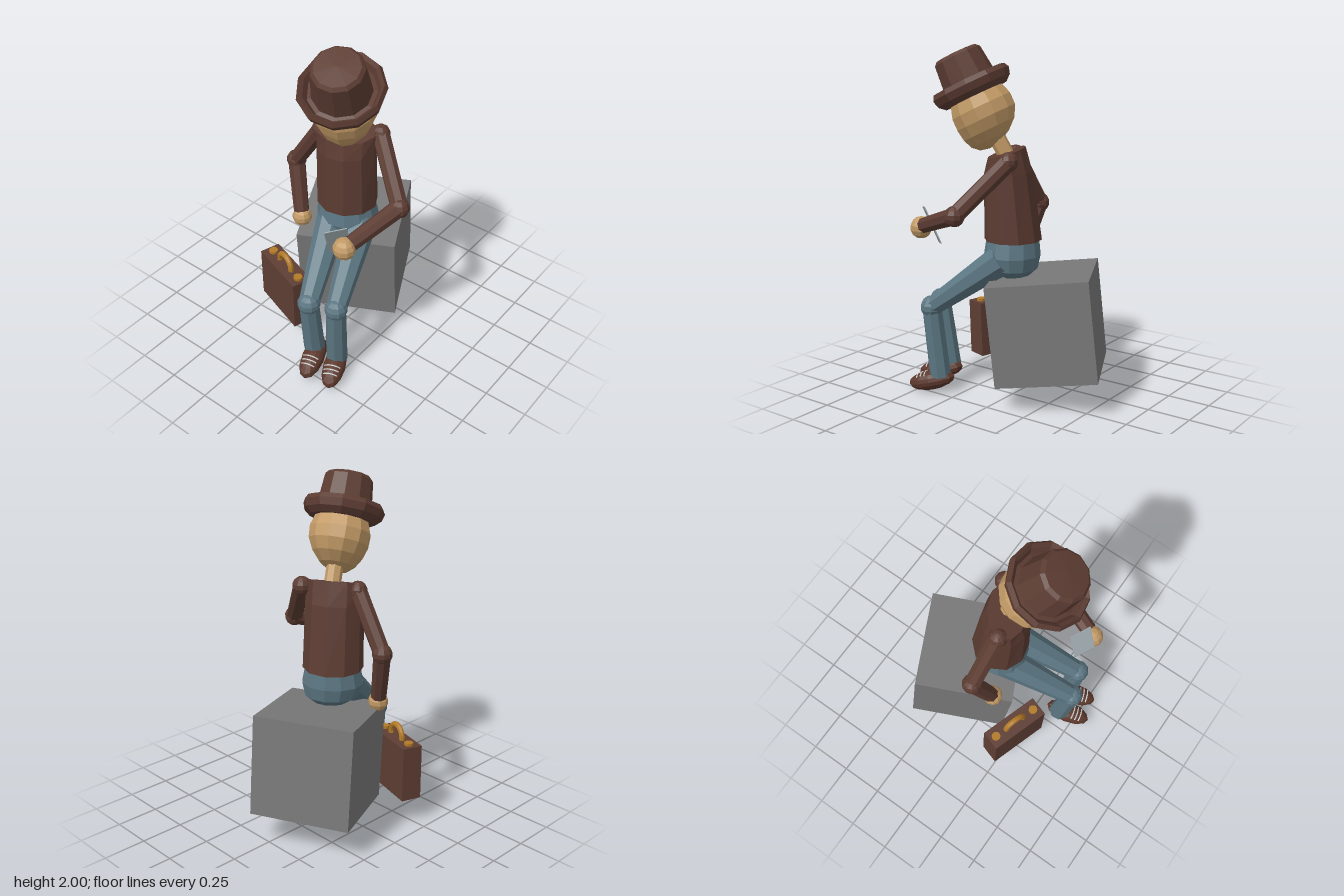
import * as THREE from 'three';

const V = (x, y, z) => new THREE.Vector3(x, y, z);
const mat = (color) => new THREE.MeshStandardMaterial({ color, flatShading: true, side: THREE.DoubleSide });

export function createModel() {
  const root = new THREE.Group();
  const cloth = mat(0x5c3c32), skin = mat(0xc29a66), denim = mat(0x5c7783), leather = mat(0x5e3e34);
  const brass = mat(0xb27a28), stone = mat(0x787878), paper = mat(0x9aa5a9), shoeMat = mat(0x5c382c), lace = mat(0xdddddd);

  const add = (parent, name, geo, material, pos = V(0, 0, 0)) => {
    const m = new THREE.Mesh(geo, material);
    m.name = name;
    m.position.copy(pos);
    parent.add(m);
    return m;
  };
  // Orients an object by its up direction and approximate side direction
  const orient = (obj, side, up) => {
    const y = up.clone().normalize();
    const z = side.clone().cross(y).normalize();
    const x = y.clone().cross(z);
    obj.quaternion.setFromRotationMatrix(new THREE.Matrix4().makeBasis(x, y, z));
    return obj;
  };
  const group = (name, pos, side, up) => {
    const g = new THREE.Group();
    g.name = name;
    g.position.copy(pos);
    root.add(orient(g, side, up));
    return g;
  };
  // Tapered limb between two points
  const limb = (name, a, b, ra, rb, material, n = 8) => {
    const d = b.clone().sub(a);
    const m = add(root, name, new THREE.CylinderGeometry(rb, ra, d.length(), n), material, a.clone().lerp(b, 0.5));
    m.quaternion.setFromUnitVectors(V(0, 1, 0), d.normalize());
  };
  const ball = (name, pos, r, material) => add(root, name, new THREE.SphereGeometry(r, 10, 7), material, pos);
  // Stack of oval rings, top first: [x, y, z, halfWidth, halfDepth, forwardSlope]
  const yaw = Math.atan2(0.49, 0.87);
  const loft = (name, rings, material, n) => {
    const geo = new THREE.CylinderGeometry(1, 1, 1, n, rings.length - 1);
    const p = geo.attributes.position;
    for (let i = 0; i < p.count; i++) {
      const [cx, cy, cz, w, d, slope = 0] = rings[Math.round((0.5 - p.getY(i)) * (rings.length - 1))];
      const v = V(p.getX(i) * w, 0, p.getZ(i) * d).applyAxisAngle(V(0, 1, 0), yaw);
      p.setXYZ(i, cx + v.x, cy + slope * p.getZ(i), cz + v.z);
    }
    geo.computeVertexNormals();
    return add(root, name, geo, material);
  };

  // Seat block
  const seat = add(root, 'seatBlock', new THREE.BoxGeometry(0.57, 0.57, 0.57), stone, V(-0.08, 0.455, -0.187));
  orient(seat, V(0.9, 0, -0.44), V(0.035, 0.994, 0.102));

  // Suitcase with handle and studs
  const bag = group('suitcase', V(-0.252, 0.325, 0.272), V(0.95, -0.03, 0.31), V(0.02, 1, 0.02));
  add(bag, 'suitcaseBody', new THREE.BoxGeometry(0.365, 0.325, 0.12), leather);
  add(bag, 'suitcaseHandle', new THREE.TorusGeometry(0.062, 0.017, 8, 12, Math.PI), brass, V(0, 0.172, 0));
  for (const s of [-1, 1]) {
    add(bag, 'handleEnd', new THREE.CylinderGeometry(0.017, 0.017, 0.02, 8), brass, V(s * 0.062, 0.165, 0));
    add(bag, 'suitcaseStud', new THREE.CylinderGeometry(0.026, 0.026, 0.02, 14), brass, V(s * 0.138, 0.168, 0));
  }

  // Torso and pelvis
  loft('jacket', [
    [0.015, 1.415, 0.03, 0.165, 0.105, -0.03],
    [0.01, 1.3, 0.025, 0.165, 0.135, -0.01],
    [-0.003, 0.925, 0, 0.172, 0.162],
  ], cloth, 10);
  loft('pelvis', [
    [-0.002, 0.96, 0, 0.155, 0.145],
    [0.002, 0.84, 0.002, 0.178, 0.16],
    [0.005, 0.765, -0.005, 0.155, 0.14],
    [0.005, 0.72, -0.02, 0.09, 0.08],
  ], denim, 12);

  // Neck and head
  limb('neck', V(0.022, 1.38, 0.015), V(0.06, 1.53, 0.085), 0.047, 0.047, skin);
  const tilt = V(0.18, 0.9, 0.4), across = V(0.9, 0, -0.42);
  const headGeo = new THREE.SphereGeometry(1, 12, 9);
  const hp = headGeo.attributes.position;
  for (let i = 0; i < hp.count; i++) {
    const y = hp.getY(i), t = Math.max(0, -y);
    hp.setXYZ(i, hp.getX(i) * 0.175 * (1 - 0.15 * t), y * 0.195, hp.getZ(i) * 0.182 + 0.055 * t * t);
  }
  const head = add(root, 'head', headGeo, skin, V(0.085, 1.635, 0.135));
  orient(head, across, tilt);

  // Hat with a rolled brim
  const hatProfile = [
    [0, -0.045], [0.185, -0.05], [0.22, -0.02], [0.232, 0.02], [0.217, 0.047], [0.198, 0.03],
    [0.18, -0.005], [0.158, 0], [0.138, 0.185], [0.12, 0.203], [0, 0.21],
  ].map(([x, y]) => new THREE.Vector2(x, y));
  const hat = add(root, 'hat', new THREE.LatheGeometry(hatProfile, 11), cloth, V(0.113, 1.765, 0.193));
  orient(hat, across, tilt);

  // Arms: shoulder, elbow, wrist, hand
  const arms = [
    ['right', V(-0.125, 1.385, 0.07), V(-0.335, 1.08, 0.045), V(-0.255, 0.79, 0.11), V(-0.245, 0.757, 0.117), 0.057],
    ['left', V(0.155, 1.385, -0.085), V(0.41, 1.11, 0.085), V(0.315, 1.01, 0.38), V(0.3, 0.992, 0.415), 0.063],
  ];
  for (const [side, shoulder, elbow, wrist, hand, r] of arms) {
    ball(side + 'Shoulder', shoulder, 0.054, cloth);
    limb(side + 'UpperArm', shoulder, elbow, 0.05, 0.048, cloth);
    ball(side + 'Elbow', elbow, 0.057, cloth);
    limb(side + 'Forearm', elbow, wrist, 0.05, 0.045, cloth);
    ball(side + 'Hand', hand, r, skin);
  }

  // Card held in the left hand
  const card = add(root, 'card', new THREE.BoxGeometry(0.12, 0.225, 0.006), paper, V(0.237, 0.998, 0.39));
  orient(card, V(0.08, 0.005, -0.09), V(0.04, 0.205, 0.085));

  // Legs and laced shoes
  const legs = [
    ['right', V(-0.055, 0.825, 0.065), V(0.085, 0.515, 0.46), V(0.07, 0.12, 0.405), V(0.1, 0.09, 0.455), V(0.95, 0, -0.28)],
    ['left', V(0.1, 0.825, 0), V(0.233, 0.515, 0.405), V(0.208, 0.1, 0.37), V(0.228, 0.067, 0.42), V(0.92, 0, -0.38)],
  ];
  for (const [side, hip, knee, ankle, foot, lateral] of legs) {
    limb(side + 'Thigh', hip, knee, 0.092, 0.058, denim);
    ball(side + 'Knee', knee, 0.066, denim);
    limb(side + 'Shin', knee, ankle, 0.057, 0.063, denim);
    const shoe = group(side + 'Shoe', foot, lateral, V(0.06, 0.97, 0.24));
    add(shoe, 'shoeBody', new THREE.SphereGeometry(1, 12, 8), shoeMat).scale.set(0.066, 0.057, 0.142);
    // Lace strips following the curve of the upper
    for (const z of [0.025, 0.05, 0.075]) {
      const k = Math.sqrt(1 - (z / 0.142) ** 2);
      const strip = add(shoe, 'lace', new THREE.TorusGeometry(1, 0.07, 4, 8, Math.PI * 0.5), lace, V(0, 0, z));
      strip.rotation.z = Math.PI * 0.25;
      strip.geometry.rotateZ(Math.PI * 0.25);
      strip.rotation.z = 0;
      strip.scale.set(0.066 * k, 0.057 * k, 0.06);
    }
  }
  return root;
}
